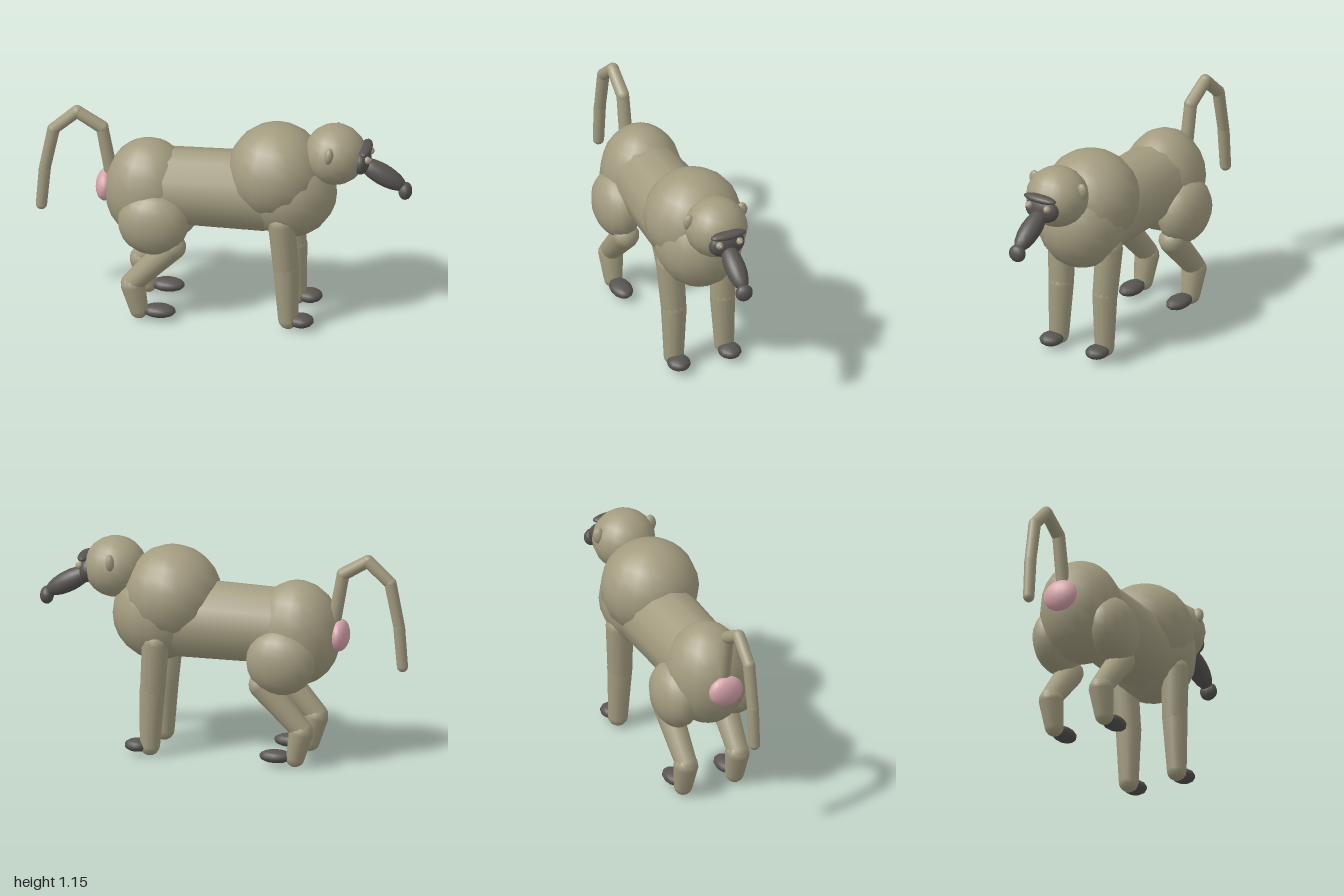
import * as THREE from 'three';

const mat = (name, color) => {
  const m = new THREE.MeshStandardMaterial({ color });
  m.name = name;
  return m;
};

export function createModel() {
  const fur = mat('olive fur', 0xa39c80);
  const skin = mat('dark skin', 0x575451);
  const pink = mat('pink skin', 0xd6a4aa);
  const model = new THREE.Group();
  model.name = 'monkey';

  // Ellipsoid with centre c and radii r, tilted about z
  const ball = (name, material, c, r, tilt = 0, parent = model, seg = 16) => {
    const mesh = new THREE.Mesh(new THREE.SphereGeometry(1, seg, Math.round(seg * 0.75)), material);
    mesh.name = name;
    mesh.position.set(...c);
    mesh.scale.set(...r);
    mesh.rotation.z = tilt;
    parent.add(mesh);
    return mesh;
  };

  // Tapered limb with rounded ends, running from a (radius ra) to b (radius rb)
  const limb = (name, a, b, ra, rb, parent = model) => {
    const start = new THREE.Vector3(...a);
    const dir = new THREE.Vector3(...b).sub(start);
    const len = dir.length();
    const profile = [];
    for (let i = 0; i <= 4; i++) {
      const t = (i / 4) * Math.PI / 2;
      profile.push(new THREE.Vector2(ra * Math.sin(t), -ra * Math.cos(t)));
    }
    for (let i = 0; i <= 4; i++) {
      const t = (i / 4) * Math.PI / 2;
      profile.push(new THREE.Vector2(rb * Math.cos(t), len + rb * Math.sin(t)));
    }
    const mesh = new THREE.Mesh(new THREE.LatheGeometry(profile, 12), fur);
    mesh.name = name;
    mesh.position.copy(start);
    mesh.quaternion.setFromUnitVectors(new THREE.Vector3(0, 1, 0), dir.normalize());
    parent.add(mesh);
    return mesh;
  };

  // Trunk
  ball('hips', fur, [-0.4, 0.7, 0], [0.235, 0.282, 0.217]);
  limb('torso', [-0.3, 0.73, 0], [0.22, 0.735, 0], 0.207, 0.215).scale.z = 0.93;
  ball('chest', fur, [0.35, 0.757, 0], [0.25, 0.257, 0.235]);
  ball('mantle', fur, [0.28, 0.86, 0], [0.26, 0.26, 0.26]);
  ball('rump', pink, [-0.63, 0.705, 0], [0.05, 0.085, 0.097]);

  // Head and face
  const head = new THREE.Group();
  head.name = 'head';
  model.add(head);
  ball('skull', fur, [0.59, 0.985, 0], [0.165, 0.162, 0.167], 0, head);
  ball('face', skin, [0.73, 0.965, 0], [0.05, 0.075, 0.102], 0, head);
  ball('brow', skin, [0.752, 1.032, 0], [0.035, 0.022, 0.1], 0, head);
  ball('muzzle', skin, [0.84, 0.885, 0], [0.145, 0.056, 0.056], -0.52, head);
  ball('nose', skin, [0.962, 0.797, 0], [0.037, 0.048, 0.048], 0, head, 12);

  // Paired parts
  for (const s of [1, -1]) {
    const side = s > 0 ? 'right' : 'left';
    ball(side + 'Ear', fur, [0.58, 1.045, s * 0.15], [0.024, 0.046, 0.032], -0.1, head, 10);
    ball(side + 'Eye', fur, [0.77, 0.99, s * 0.057], [0.02, 0.02, 0.02], 0, head, 10);
    ball(side + 'Pupil', pink, [0.787, 0.993, s * 0.057], [0.005, 0.007, 0.007], 0, head, 8);

    const front = new THREE.Group();
    front.name = side + 'FrontLeg';
    model.add(front);
    limb('upperArm', [0.33, 0.63, s * 0.152], [0.35, 0.36, s * 0.139], 0.073, 0.067, front);
    limb('forearm', [0.352, 0.36, s * 0.139], [0.363, 0.062, s * 0.144], 0.068, 0.053, front);
    ball('hand', skin, [0.432, 0.06, s * 0.145], [0.068, 0.035, 0.062], 0, front, 12);

    const hind = new THREE.Group();
    hind.name = side + 'HindLeg';
    model.add(hind);
    ball('thigh', fur, [-0.352, 0.582, s * 0.165], [0.187, 0.177, 0.12], 0, hind);
    limb('shin', [-0.25, 0.445, s * 0.155], [-0.467, 0.21, s * 0.15], 0.073, 0.057, hind);
    limb('ankle', [-0.46, 0.2, s * 0.15], [-0.428, 0.06, s * 0.15], 0.066, 0.05, hind);
    ball('foot', skin, [-0.322, 0.06, s * 0.15], [0.09, 0.035, 0.058], 0, hind, 12);
  }

  // Tail arching up and over behind the hips
  const tail = new THREE.Group();
  tail.name = 'tail';
  model.add(tail);
  const path = [[-0.6, 0.78, 0], [-0.648, 1.04, 0], [-0.782, 1.122, 0],
    [-0.905, 1.01, 0], [-0.952, 0.775, 0], [-0.97, 0.56, 0]];
  for (let i = 0; i < 5; i++) {
    limb('tailSegment' + (i + 1), path[i], path[i + 1], 0.036 - i * 0.001, 0.034 - i * 0.001, tail);
  }
  return model;
}
